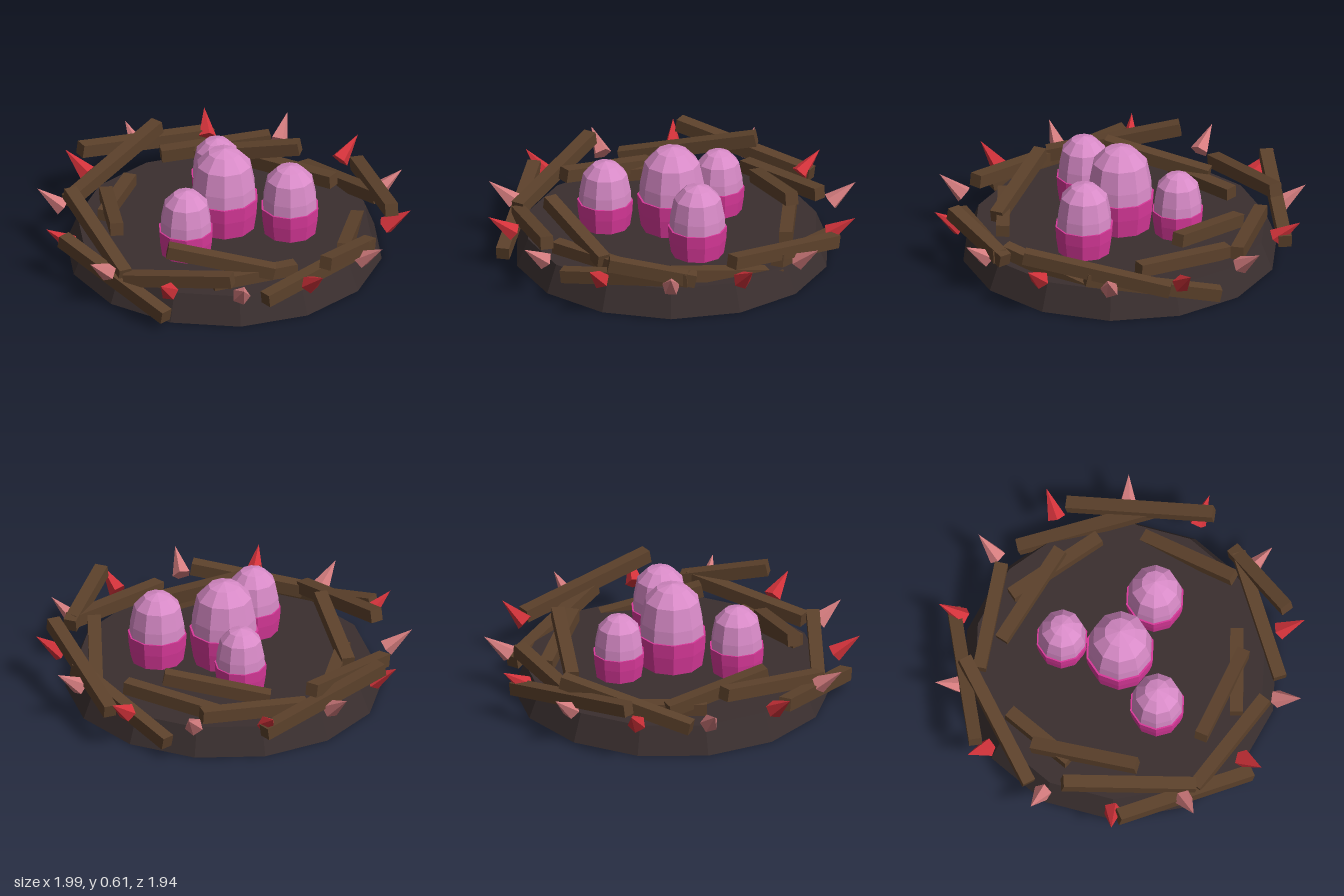
import * as THREE from 'three';

const flat = (name, color) => {
  const m = new THREE.MeshStandardMaterial({ color, flatShading: true });
  m.name = name;
  return m;
};

export function createModel() {
  const soil = flat('dark soil', 0x3a2f2f);
  const wood = flat('brown wood', 0x5c412b);
  const shell = flat('orchid shell', 0xd98bc8);
  const band = flat('magenta band', 0xd9389a);
  const red = flat('red thorn', 0xd2323a);
  const rose = flat('rose thorn', 0xd47c7e);

  const model = new THREE.Group();
  model.name = 'nest';
  const add = (parent, name, geo, mat) => {
    const mesh = new THREE.Mesh(geo, mat);
    mesh.name = name;
    parent.add(mesh);
    return mesh;
  };

  // Fourteen-sided base
  const base = add(model, 'base', new THREE.CylinderGeometry(0.78, 0.84, 0.15, 14), soil);
  base.position.y = 0.075;
  base.rotation.y = Math.PI / 2;

  // Eggs: domed shell above a slightly wider band, resting on the base
  const points = (list) => list.map(([r, y]) => new THREE.Vector2(r, y));
  const domeGeo = new THREE.LatheGeometry(
    points([[0.175, 0.17], [0.17, 0.25], [0.146, 0.37], [0.083, 0.437], [0, 0.46]]), 10);
  const bandGeo = new THREE.LatheGeometry(
    points([[0.165, 0], [0.18, 0.1], [0.185, 0.18], [0.17, 0.18]]), 10);
  const eggs = [[0, 0, 1], [-0.285, 0.21, 0.8], [0.31, 0.17, 0.85], [0.065, -0.31, 0.75]];
  for (const [x, z, s] of eggs) {
    const egg = new THREE.Group();
    egg.name = 'egg';
    add(egg, 'eggDome', domeGeo, shell);
    add(egg, 'eggBand', bandGeo, band);
    egg.position.set(x, 0.15, z);
    egg.rotation.y = Math.PI / 2;
    egg.scale.setScalar(s);
    model.add(egg);
  }

  // Twigs: square bars, each given by its two end points
  const twigs = [
    [-0.55, 0.31, -0.74, 0.23, 0.19, -0.89],
    [-0.72, 0.18, -0.45, -0.09, 0.33, -0.82],
    [-0.10, 0.20, -0.74, 0.48, 0.24, -0.65],
    [0.06, 0.23, -0.63, 0.54, 0.34, -0.34],
    [0.33, 0.18, -0.59, 0.66, 0.22, -0.14],
    [0.64, 0.08, -0.57, 0.82, 0.24, 0.13],
    [0.85, 0.20, -0.32, 0.78, 0.34, 0.46],
    [0.75, 0.10, 0.02, 0.47, 0.22, 0.58],
    [0.62, 0.23, 0.57, 0.27, 0.33, 0.87],
    [0.60, 0.24, 0.60, -0.06, 0.16, 0.85],
    [0.19, 0.18, 0.61, -0.28, 0.18, 0.63],
    [-0.47, 0.32, 0.45, 0.06, 0.20, 0.65],
    [-0.70, 0.18, 0.43, -0.22, 0.27, 0.78],
    [-0.91, 0.24, 0.03, -0.57, 0.08, 0.72],
    [-0.77, 0.34, -0.27, -0.70, 0.20, 0.43],
    [-0.51, 0.20, -0.44, -0.64, 0.30, 0.12],
    [-0.33, 0.18, -0.57, -0.59, 0.18, -0.24],
  ];
  for (const t of twigs) {
    const a = new THREE.Vector3(...t.slice(0, 3));
    const b = new THREE.Vector3(...t.slice(3));
    const twig = add(model, 'twig', new THREE.BoxGeometry(0.07, 0.07, a.distanceTo(b)), wood);
    twig.position.copy(a).add(b).multiplyScalar(0.5);
    twig.lookAt(b);
  }

  // Thorns around the rim, alternating in colour
  const thornGeo = new THREE.ConeGeometry(0.05, 0.17, 5);
  const up = new THREE.Vector3(0, 1, 0);
  for (let i = 0; i < 14; i++) {
    const a = (i / 14) * Math.PI * 2;
    const dir = new THREE.Vector3(Math.cos(a) * 0.8, 0.6, -Math.sin(a) * 0.8);
    const thorn = add(model, 'thorn', thornGeo, i % 2 ? red : rose);
    thorn.quaternion.setFromUnitVectors(up, dir);
    thorn.position.set(Math.cos(a) * 0.927, 0.25, -Math.sin(a) * 0.927);
  }
  return model;
}
